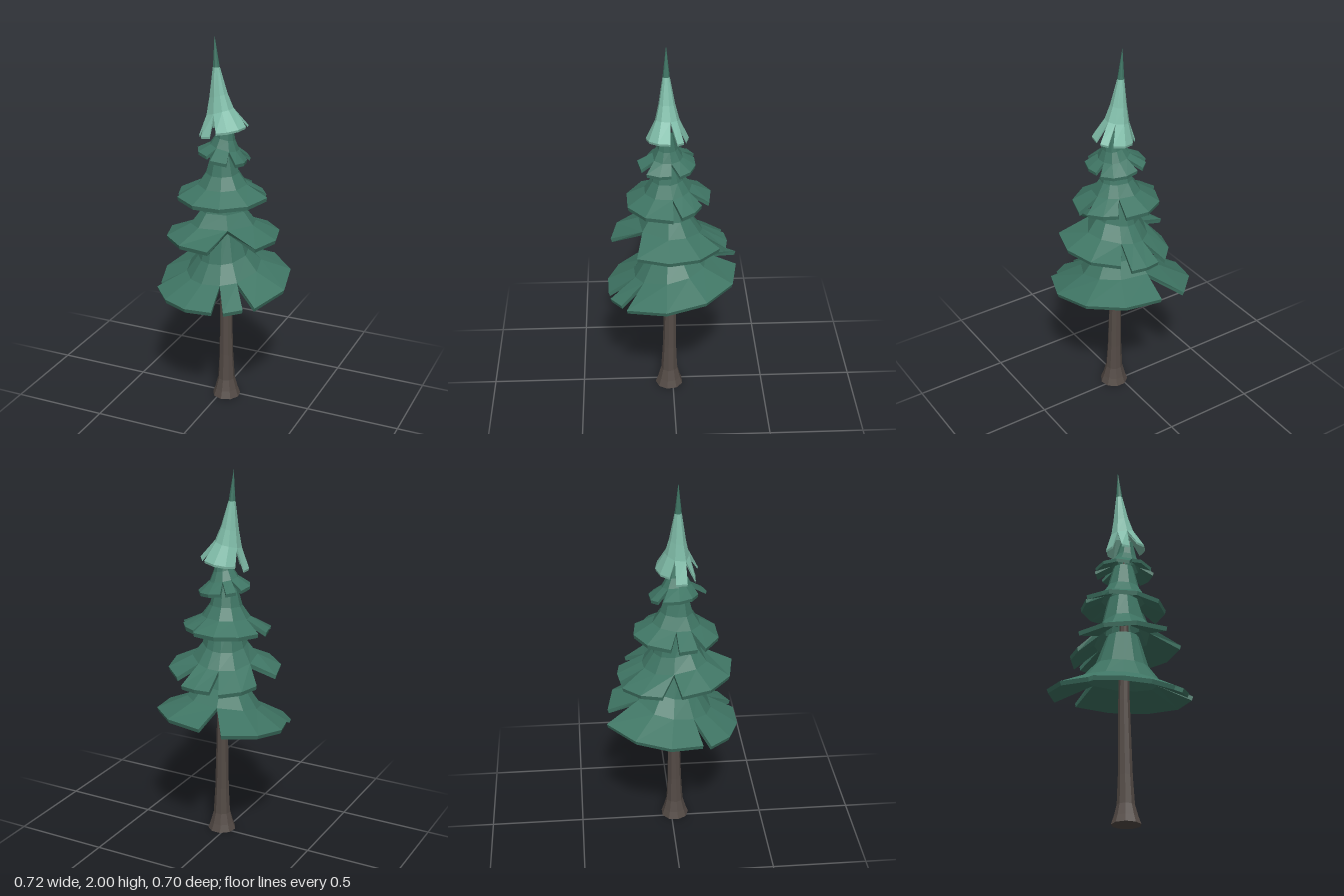
import * as THREE from 'three';

const { lerp, degToRad } = THREE.MathUtils;

const material = (name, color) => {
  const m = new THREE.MeshStandardMaterial({ color, flatShading: true });
  m.name = name;
  return m;
};

// Outline of a tier from its root to its rim, as fractions of [reach, drop]
const flare = [[0, 0], [0.18, 0.5], [0.42, 0.76], [1, 1]];
const steepFlare = [[0, 0], [0.28, 0.45], [0.5, 0.7], [1, 1]];

// One tier of foliage: a flared shell whose rim is split into lobes.
// Each lobe is an arc: [from degrees, to degrees, segments, radius at start, radius at end, extra drop].
function tierGeometry({ top, topR, centre, rimY, lobes, thick = 0.022, profile = flare }) {
  const verts = [];
  const quad = (a, b, c, d) => [a, b, c, a, c, d].forEach(p => verts.push(p.x, p.y, p.z));
  const [cx, cz] = centre;
  const last = profile.length - 1;

  // Profile column: down the outside, round the rim, back up the inside
  const column = (rim, root) => {
    const outer = profile.map(([reach, drop], k) => {
      const p = k === last ? rim : root;
      const a = Math.atan2(p.z - cz, p.x - cx);
      return new THREE.Vector3(
        lerp(top[0] + Math.cos(a) * topR, p.x, reach),
        lerp(top[1], p.y, drop),
        lerp(top[2] + Math.sin(a) * topR, p.z, reach));
    });
    const inner = outer.map((p, k) => {
      const s = k === last ? 0.98 : 0.91;
      return new THREE.Vector3(cx + (p.x - cx) * s, p.y - thick, cz + (p.z - cz) * s);
    });
    return [...outer, ...inner.reverse()];
  };

  const rims = lobes.map(([from, to, segments, r0, r1, drop = 0]) =>
    Array.from({ length: segments + 1 }, (_, i) => {
      const t = i / segments, a = degToRad(lerp(from, to, t)), r = lerp(r0, r1, t);
      const x = cx + Math.cos(a) * r, z = cz + Math.sin(a) * r;
      return new THREE.Vector3(x, rimY(x, z) - drop, z);
    }));

  rims.forEach((lobe, i) => {
    const before = rims.at(i - 1).at(-1), after = rims[(i + 1) % rims.length][0];
    const columns = lobe.map((p, j) => {
      // Neighbouring lobes meet above the notch
      const root = p.clone();
      if (j === 0) root.lerp(before, 0.5);
      else if (j === lobe.length - 1) root.lerp(after, 0.5);
      return column(p, root);
    });
    for (let j = 0; j < columns.length - 1; j++) {
      const a = columns[j], b = columns[j + 1];
      for (let k = 0; k < a.length - 1; k++) quad(a[k], b[k], b[k + 1], a[k + 1]);
    }
    // Close the cut sides of the lobe
    const s = columns[0], e = columns.at(-1);
    quad(s[last - 1], s[last], s[last + 1], s[last + 2]);
    quad(e[last + 2], e[last + 1], e[last], e[last - 1]);
  });

  const g = new THREE.BufferGeometry();
  g.setAttribute('position', new THREE.Float32BufferAttribute(verts, 3));
  g.computeVertexNormals();
  return g;
}

export function createModel() {
  const tree = new THREE.Group();
  tree.name = 'pineTree';
  const darkGreen = material('darkGreenNeedles', 0x3f7564);
  const lightGreen = material('lightGreenNeedles', 0x80bda9);
  const bark = material('brownBark', 0x544b46);
  const add = (name, geometry, mat) => {
    const mesh = new THREE.Mesh(geometry, mat);
    mesh.name = name;
    tree.add(mesh);
    return mesh;
  };
  const addTier = (name, mat, options) => add(name, tierGeometry(options), mat);

  // Trunk with flared foot, leaning very slightly
  const trunk = new THREE.LatheGeometry(
    [[0, 0], [0.076, 0], [0.062, 0.04], [0.046, 0.1], [0.038, 0.25], [0.03, 0.65], [0.02, 1.3], [0, 1.5]]
      .map(([r, y]) => new THREE.Vector2(r, y)), 9);
  const p = trunk.attributes.position;
  for (let i = 0; i < p.count; i++) {
    const lean = 0.007 * Math.min(p.getY(i) / 0.65, 1);
    p.setX(i, p.getX(i) + 0.03 - lean);
    p.setZ(i, p.getZ(i) + 0.02 - lean);
  }
  add('trunk', trunk, bark);

  // Foliage tiers from the widest up, each with its own tilt
  addTier('lowestBranches', darkGreen, {
    top: [0.01, 1.0, 0.02], topR: 0.085, centre: [0, 0],
    rimY: (x, z) => 0.69 + 0.04 * x - 0.14 * z,
    lobes: [
      [50, 66, 1, 0.363, 0.366],
      [76, 149, 3, 0.355, 0.352],
      [155, 245, 3, 0.33, 0.39],
      [265, 401, 4, 0.345, 0.38],
    ],
  });
  addTier('lowerBranches', darkGreen, {
    top: [0.01, 1.22, 0.02], topR: 0.08, centre: [0, 0],
    rimY: (x, z) => 0.955 + 0.02 * x + 0.03 * z,
    lobes: [
      [80, 174, 3, 0.33, 0.285],
      [197, 249, 2, 0.23, 0.285, 0.035],
      [259, 292, 2, 0.28, 0.295, 0.025],
      [303, 396, 3, 0.285, 0.325],
    ],
  });
  addTier('middleBranches', darkGreen, {
    top: [0.01, 1.41, 0.025], topR: 0.055, centre: [0, 0],
    rimY: (x, z) => 1.178 - 0.05 * z,
    lobes: [
      [1, 140, 4, 0.25, 0.245],
      [150, 175, 1, 0.231, 0.229],
      [186, 295, 3, 0.204, 0.204],
      [307, 350, 2, 0.183, 0.231],
    ],
  });
  addTier('upperBranches', darkGreen, {
    top: [0.03, 1.57, 0.03], topR: 0.033, centre: [0.01, 0.02], thick: 0.018,
    rimY: (x, z) => 1.39 - 0.14 * x + 0.05 * z,
    lobes: [
      [-4, 44, 2, 0.13, 0.166],
      [60, 90, 1, 0.164, 0.16],
      [110, 209, 3, 0.12, 0.148],
      [221, 241, 1, 0.15, 0.15],
      [253, 338, 3, 0.137, 0.14],
    ],
  });
  addTier('crownBranches', lightGreen, {
    top: [-0.022, 1.84, 0.03], topR: 0.018, centre: [0.015, 0.03], thick: 0.012,
    profile: steepFlare,
    rimY: x => 1.525 + 0.15 * x,
    lobes: [
      [-7, 87, 3, 0.12, 0.105],
      [112, 135, 1, 0.095, 0.12, 0.02],
      [160, 188, 1, 0.122, 0.116, 0.02],
      [210, 306, 3, 0.095, 0.12],
      [318, 337, 1, 0.124, 0.128],
    ],
  });

  // Dark pointed tip
  const tip = new THREE.ConeGeometry(0.018, 0.16, 8).translate(0, 0.08, 0);
  const tp = tip.attributes.position;
  for (let i = 0; i < tp.count; i++) tp.setX(i, tp.getX(i) - 0.06 * tp.getY(i));
  add('treeTip', tip, darkGreen).position.set(-0.022, 1.84, 0.03);

  return tree;
}
